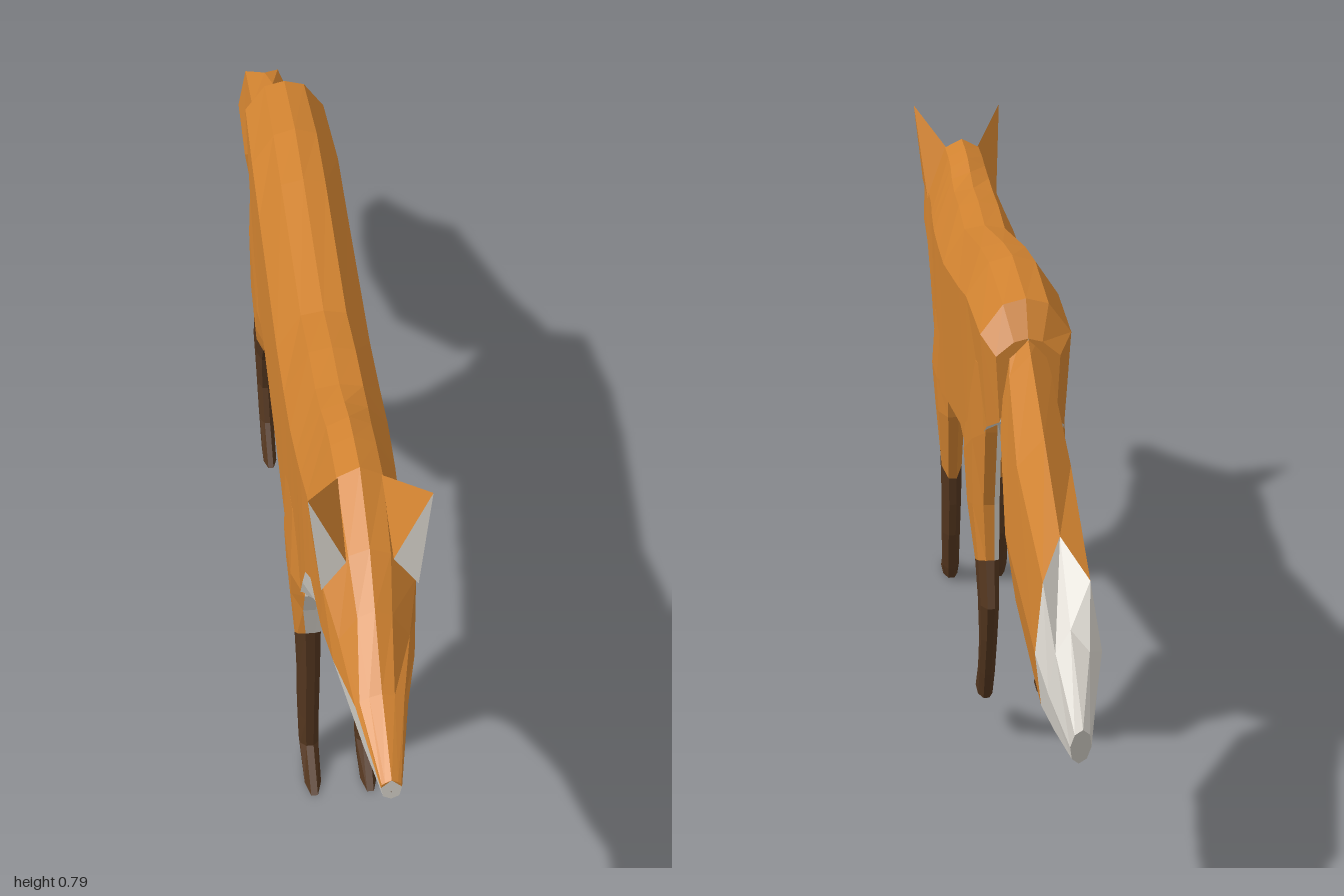
import * as THREE from 'three';

const flat = (name, color) => {
  const m = new THREE.MeshStandardMaterial({ color, flatShading: true });
  m.name = name;
  return m;
};

// Skins closed rings of [x, y, z] points; paint(i, j) picks a material index per cell.
function loft(name, rings, materials, paint) {
  const n = rings[0].length, last = rings.length - 1;
  const buckets = materials.map(() => []);
  const add = (m, a, b, c) => buckets[m].push([a, b, c]);
  for (let i = 0; i < last; i++) {
    for (let j = 0; j < n; j++) {
      const k = (j + 1) % n, m = paint(i, j);
      add(m, rings[i][j], rings[i][k], rings[i + 1][k]);
      add(m, rings[i][j], rings[i + 1][k], rings[i + 1][j]);
    }
  }
  for (let j = 1; j < n - 1; j++) {
    add(paint(0, j), rings[0][0], rings[0][j + 1], rings[0][j]);
    add(paint(last - 1, j), rings[last][0], rings[last][j], rings[last][j + 1]);
  }
  // Turn the faces outward if the rings ran the other way
  const v = (p) => new THREE.Vector3(...p), o = v(rings[0][0]);
  let volume = 0;
  for (const [a, b, c] of buckets.flat()) {
    volume += v(a).sub(o).dot(v(b).sub(o).cross(v(c).sub(o)));
  }
  const geometry = new THREE.BufferGeometry(), position = [];
  buckets.forEach((tris, m) => {
    geometry.addGroup(position.length / 3, tris.length * 3, m);
    for (const [a, b, c] of tris) position.push(...a, ...(volume < 0 ? c : b), ...(volume < 0 ? b : c));
  });
  geometry.setAttribute('position', new THREE.Float32BufferAttribute(position, 3));
  geometry.computeVertexNormals();
  const mesh = new THREE.Mesh(geometry, materials);
  mesh.name = name;
  return mesh;
}

// Body ring: ridge, shoulder, flank, coat edge, underside, keel, then mirrored
function bodyRing([z, top, sx, sy, ux, uy, bx, by, lx, ly, keel]) {
  const side = [[sx, sy], [ux, uy], [bx, by], [lx, ly]];
  return [
    [0, top, z], ...side.map(([x, y]) => [x, y, z]),
    [0, keel, z], ...side.reverse().map(([x, y]) => [-x, y, z]),
  ];
}

// Leg ring: chamfered rectangle sloping from the front height to the back height
function legRing([yf, yb, zf, zb, xin, xout], s) {
  const at = (u, t) => [
    s * THREE.MathUtils.lerp(xin, xout, u),
    THREE.MathUtils.lerp(yf, yb, t),
    THREE.MathUtils.lerp(zf, zb, t),
  ];
  return [at(0.3, 0), at(0.7, 0), at(1, 0.25), at(1, 0.75),
    at(0.7, 1), at(0.3, 1), at(0, 0.75), at(0, 0.25)];
}

// Tail ring: eight points between a top and a bottom point, bulging backwards
function tailRing([zt, yt, zb, yb, w, bulge]) {
  return Array.from({ length: 8 }, (_, k) => {
    const a = (k / 8) * Math.PI * 2, t = (1 - Math.cos(a)) / 2;
    return [
      w * Math.sin(a),
      THREE.MathUtils.lerp(yt, yb, t),
      THREE.MathUtils.lerp(zt, zb, t) - bulge * Math.abs(Math.sin(a)),
    ];
  });
}

export function createModel() {
  const fox = new THREE.Group();
  fox.name = 'fox';
  const orange = flat('orange fur', 0xd08230);
  const white = flat('white fur', 0xd6d2ca);
  const brown = flat('dark brown fur', 0x52351e);
  const coat = [orange, white, brown];

  // Head, neck and trunk, white below the coat edge
  const headRows = [
    [1.0, 0.552, 0.008, 0.548, 0.012, 0.545, 0.013, 0.54, 0.01, 0.525, 0.52],
    [0.9, 0.6, 0.016, 0.595, 0.028, 0.588, 0.033, 0.58, 0.022, 0.51, 0.5],
    [0.82, 0.665, 0.022, 0.655, 0.045, 0.62, 0.052, 0.585, 0.032, 0.525, 0.515],
    [0.76, 0.715, 0.027, 0.705, 0.06, 0.66, 0.061, 0.588, 0.04, 0.512, 0.502],
    [0.65, 0.757, 0.03, 0.742, 0.06, 0.66, 0.063, 0.572, 0.042, 0.485, 0.475],
    [0.58, 0.752, 0.03, 0.738, 0.061, 0.655, 0.063, 0.52, 0.042, 0.45, 0.44],
    [0.53, 0.745, 0.03, 0.73, 0.064, 0.65, 0.062, 0.455, 0.042, 0.42, 0.41],
    [0.48, 0.73, 0.032, 0.718, 0.066, 0.645, 0.06, 0.39, 0.03, 0.388, 0.385],
  ];
  const trunkRows = [
    [0.42, 0.714, 0.033, 0.708, 0.068, 0.64, 0.064, 0.375, 0.03, 0.37, 0.37],
    [0.33, 0.71, 0.033, 0.703, 0.068, 0.633, 0.066, 0.38, 0.035, 0.365, 0.36],
    [0.22, 0.693, 0.033, 0.687, 0.068, 0.63, 0.066, 0.403, 0.035, 0.37, 0.365],
    [-0.07, 0.73, 0.034, 0.722, 0.068, 0.662, 0.066, 0.445, 0.035, 0.405, 0.398],
    [-0.2, 0.74, 0.034, 0.73, 0.068, 0.68, 0.066, 0.43, 0.03, 0.43, 0.43],
    [-0.38, 0.72, 0.032, 0.712, 0.064, 0.67, 0.055, 0.535, 0.03, 0.545, 0.55],
    [-0.41, 0.67, 0.02, 0.665, 0.045, 0.645, 0.04, 0.55, 0.02, 0.555, 0.56],
  ];
  const bodyRings = [...headRows, ...trunkRows].map(bodyRing);
  fox.add(loft('body', bodyRings, coat, (i, j) => (j >= 3 && j <= 6 ? 1 : 0)));

  // Nose tip
  const nose = new THREE.Mesh(new THREE.OctahedronGeometry(0.011), brown);
  nose.name = 'nose';
  nose.position.set(0, 0.532, 0.99);
  fox.add(nose);

  // Tail with a white tip
  const tailRings = [
    [-0.37, 0.685, -0.4, 0.55, 0.03, 0],
    [-0.44, 0.655, -0.44, 0.44, 0.042, 0],
    [-0.6, 0.585, -0.585, 0.312, 0.051, 0],
    [-0.77, 0.508, -0.755, 0.268, 0.042, 0.1],
    [-0.88, 0.425, -0.87, 0.276, 0.03, 0.03],
    [-1.0, 0.345, -0.965, 0.285, 0.013, 0],
  ].map(tailRing);
  fox.add(loft('tail', tailRings, coat, (i) => (i >= 3 ? 1 : 0)));

  // Leg rows: front y, back y, front z, back z, inner x, outer x
  const frontRows = [
    [0.5, 0.5, 0.48, 0.27, 0.02, 0.066],
    [0.4, 0.4, 0.5, 0.3, 0.02, 0.071],
    [0.34, 0.34, 0.465, 0.31, 0.023, 0.068],
    [0.28, 0.21, 0.45, 0.37, 0.025, 0.06],
    [0.2, 0.16, 0.45, 0.374, 0.026, 0.058],
    [0.1, 0.1, 0.45, 0.383, 0.028, 0.058],
    [0.045, 0.03, 0.45, 0.403, 0.029, 0.057],
    [0.005, 0.01, 0.515, 0.41, 0.03, 0.055],
  ];
  const hindRows = [
    [0.58, 0.62, -0.1, -0.38, 0.025, 0.062],
    [0.4, 0.52, -0.08, -0.36, 0.025, 0.068],
    [0.35, 0.4, -0.15, -0.328, 0.027, 0.067],
    [0.285, 0.315, -0.235, -0.33, 0.03, 0.061],
    [0.24, 0.25, -0.268, -0.358, 0.033, 0.06],
    [0.175, 0.19, -0.273, -0.332, 0.034, 0.058],
    [0.12, 0.12, -0.245, -0.295, 0.034, 0.057],
    [0.067, 0.07, -0.187, -0.265, 0.034, 0.056],
  ];
  for (const [side, s] of [['left', 1], ['right', -1]]) {
    // Dark stockings, with white fur on the inner thigh
    const legs = [['FrontLeg', frontRows, [0, 6, 7]], ['HindLeg', hindRows, [5, 6]]];
    for (const [part, rows, inner] of legs) {
      const paint = (i, j) => (i >= 3 ? 2 : inner.includes(j) ? 1 : 0);
      fox.add(loft(side + part, rows.map((r) => legRing(r, s)), coat, paint));
    }

    // Pointed ear with a white front
    const base = [[0.062, 0.66, 0.77], [0.03, 0.7, 0.765], [0.028, 0.742, 0.65], [0.062, 0.65, 0.65]];
    const tip = new THREE.Vector3(0.078, 0.8, 0.76);
    const ear = [0, 0.99].map((t) => base.map((p) => {
      const q = new THREE.Vector3(...p).lerp(tip, t);
      return [s * q.x, q.y, q.z];
    }));
    fox.add(loft(side + 'Ear', ear, coat, (i, j) => (j === 0 ? 1 : 0)));
  }
  return fox;
}
